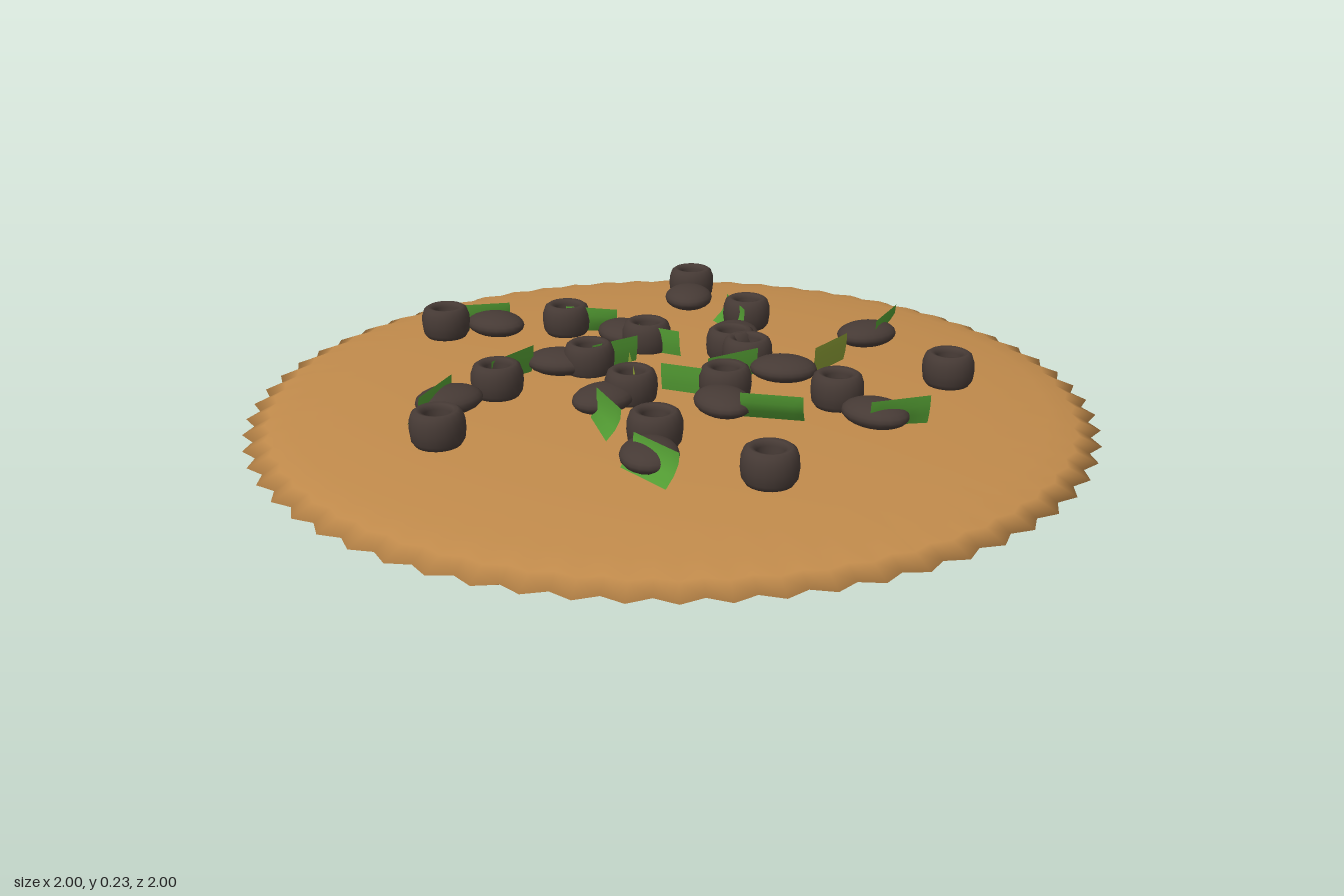
import * as THREE from 'three';
import { mergeVertices } from 'three/addons/utils/BufferGeometryUtils.js';

const material = (name, color, side = THREE.FrontSide) => {
  const m = new THREE.MeshStandardMaterial({ color, side });
  m.name = name;
  return m;
};

// Lens-shaped base whose outer edge is crimped into small teeth
function crustGeometry() {
  const profile = [
    [0, 0.003], [0.2, 0.006], [0.4, 0.014], [0.6, 0.026], [0.75, 0.04], [0.88, 0.056],
    [0.95, 0.068], [1, 0.088], [0.95, 0.108], [0.88, 0.121], [0.75, 0.137],
    [0.6, 0.148], [0.4, 0.157], [0.2, 0.162], [0, 0.164],
  ].map(([x, y]) => new THREE.Vector2(x, y));
  const teeth = 64;
  const geo = new THREE.LatheGeometry(profile, teeth * 2);
  const pos = geo.attributes.position;
  for (let i = 0; i < pos.count; i++) {
    const column = Math.floor(i / profile.length);
    const p = profile[i % profile.length];
    if (column % 2 && p.x > 0.9) {
      const s = p.x > 0.97 ? 0.976 : 0.985;
      pos.setX(i, pos.getX(i) * s);
      pos.setZ(i, pos.getZ(i) * s);
    }
  }
  geo.deleteAttribute('uv');
  geo.deleteAttribute('normal');
  const merged = mergeVertices(geo, 1e-5);
  merged.computeVertexNormals();
  return merged;
}

// Barrel-shaped ring with a round hole
function ringGeometry() {
  const profile = [
    [0.028, 0], [0.05, 0], [0.058, 0.012], [0.061, 0.035], [0.06, 0.055],
    [0.054, 0.072], [0.045, 0.078], [0.036, 0.076], [0.029, 0.066], [0.028, 0],
  ].map(([x, y]) => new THREE.Vector2(x, y));
  return new THREE.LatheGeometry(profile, 20);
}

// Upright leaf strip from a to b; its top edge leans sideways differently at each end
function stripGeometry(ax, az, bx, bz, leanA, leanB) {
  const geo = new THREE.PlaneGeometry(1, 1, 6, 3);
  const pos = geo.attributes.position;
  const length = Math.hypot(bx - ax, bz - az);
  const nx = -(bz - az) / length, nz = (bx - ax) / length;
  for (let i = 0; i < pos.count; i++) {
    const t = pos.getX(i) + 0.5, h = pos.getY(i) + 0.5;
    const lean = THREE.MathUtils.lerp(leanA, leanB, t);
    const off = lean * (h - 0.5) + 0.3 * lean * Math.sin(Math.PI * h);
    pos.setXYZ(i, ax + (bx - ax) * t + nx * off, 0.16 + 0.069 * h, az + (bz - az) * t + nz * off);
  }
  geo.computeVertexNormals();
  return geo;
}

export function createModel() {
  const crustMat = material('baked crust', 0xc08a4b);
  const darkMat = material('dark olive', 0x463a35);
  const greenMat = material('leaf green', 0x539c33, THREE.DoubleSide);
  const limeMat = material('yellow green', 0x8a9c35, THREE.DoubleSide);

  const model = new THREE.Group();
  model.name = 'toppedFlatbread';
  const add = (parent, name, geo, mat) => {
    const mesh = new THREE.Mesh(geo, mat);
    mesh.name = name;
    parent.add(mesh);
    return mesh;
  };
  const group = (name) => {
    const g = new THREE.Group();
    g.name = name;
    model.add(g);
    return g;
  };

  add(model, 'crust', crustGeometry(), crustMat);

  // Olive rings: x, z
  const rings = group('oliveRings');
  const ringGeo = ringGeometry();
  [
    [-0.25, -0.6], [0, -0.42], [0.46, -0.46], [0.07, -0.18], [0.39, -0.16], [-0.39, -0.16],
    [-0.14, -0.14], [-0.65, 0], [0.19, 0], [0.175, 0.075], [-0.18, 0.07], [0, 0.19],
    [-0.3, 0.3], [0.16, 0.39], [0.46, 0.46], [-0.25, 0.6],
  ].forEach(([x, z]) => add(rings, 'oliveRing', ringGeo, darkMat).position.set(x, 0.157, z));

  // Flattened pieces: x, z, long-axis direction x, z
  const pieces = group('flatPieces');
  const pieceGeo = new THREE.SphereGeometry(1, 20, 12).scale(0.08, 0.03, 0.063);
  [
    [-0.145, -0.53, 0.25, 1], [0.385, -0.385, 0.6, -0.7], [0.065, -0.26, 0.1, -1],
    [-0.53, -0.145, 1, 0.05], [-0.19, -0.19, 0.6, 0.7], [0.26, -0.07, 0.8, -0.5],
    [-0.26, 0.07, 1, -0.2], [0.525, 0.14, 1, 0.15], [0.185, 0.19, 0.6, 0.7],
    [-0.07, 0.26, 0.3, -1], [-0.385, 0.385, 0.6, -0.7], [0.14, 0.525, 0.15, 1],
  ].forEach(([x, z, dx, dz]) => {
    const piece = add(pieces, 'flatPiece', pieceGeo, darkMat);
    piece.position.set(x, 0.184, z);
    piece.rotation.y = Math.atan2(-dz, dx);
  });

  // Leaf strips: start x, z, end x, z, lean at start, lean at end
  const strips = group('leafStrips');
  const addStrip = (mat) => (s) => add(strips, 'leafStrip', stripGeometry(...s), mat);
  [
    [-0.2, -0.6, -0.09, -0.55, 0.015, 0.035], [0, -0.42, 0.09, -0.32, 0.012, 0.035],
    [-0.645, -0.11, -0.505, -0.18, 0.035, 0.012], [-0.39, -0.2, -0.245, -0.225, 0.03, 0.01],
    [-0.14, -0.13, -0.01, -0.12, 0.008, 0.008], [0.32, -0.1, 0.365, -0.235, 0.012, 0.04],
    [0.04, -0.2, 0.09, -0.075, 0.008, 0.01], [-0.36, 0.235, -0.31, 0.1, 0.035, 0.015],
    [-0.42, 0.5, -0.42, 0.355, 0.036, 0.036], [-0.09, 0.07, -0.02, 0.2, 0.008, 0.008],
    [-0.07, 0.32, 0.015, 0.43, 0.035, 0.035], [0.1, 0.54, 0.225, 0.605, 0.035, 0.012],
    [0.01, 0.115, 0.15, 0.135, 0.008, 0.008], [0.51, 0.175, 0.645, 0.105, 0.015, 0.038],
  ].forEach(addStrip(greenMat));
  [
    [-0.19, 0.085, -0.115, -0.045, 0.015, 0.035], [0.25, 0.225, 0.39, 0.195, 0.008, 0.008],
  ].forEach(addStrip(limeMat));

  return model;
}
